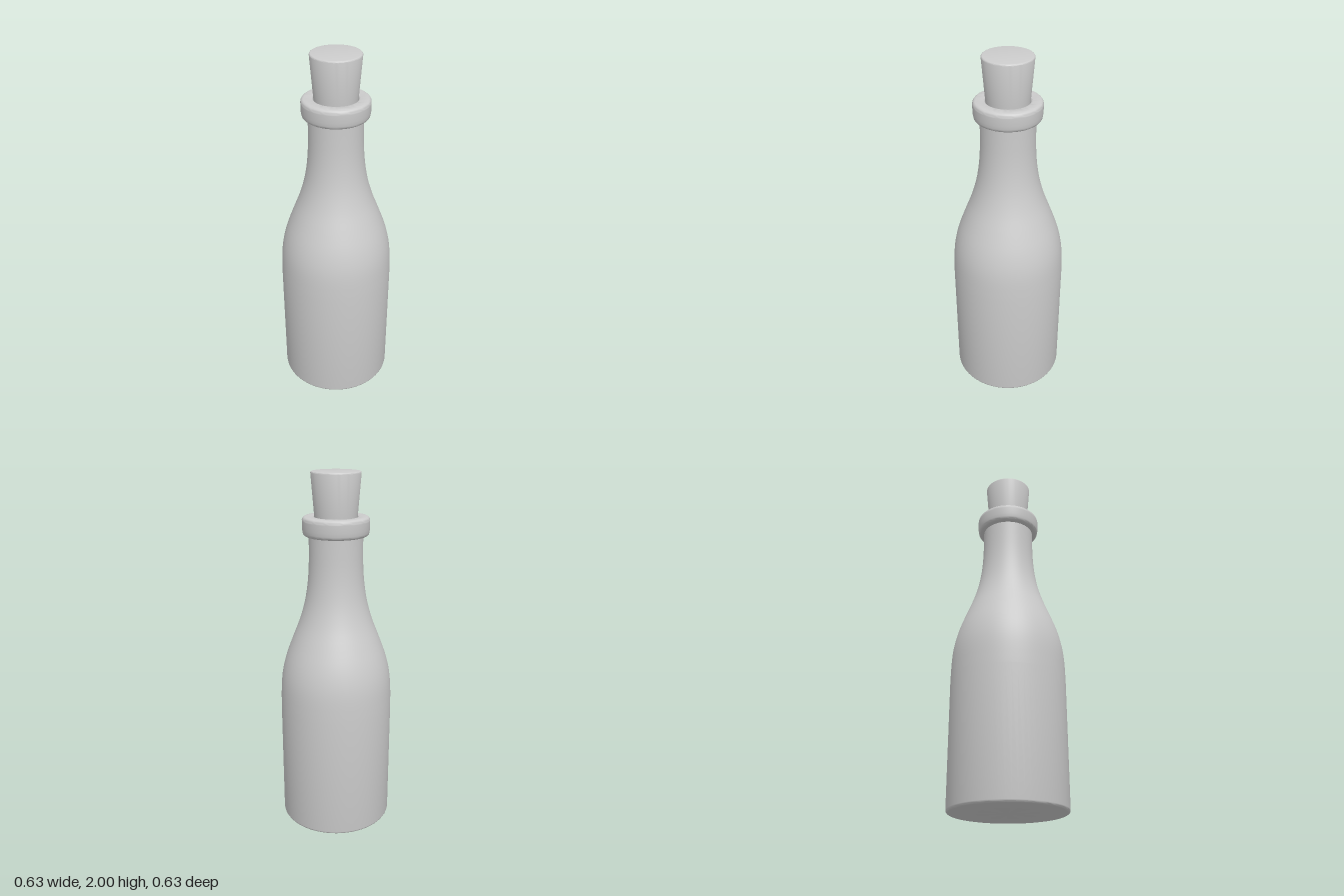
import * as THREE from 'three';
import { toCreasedNormals } from 'three/addons/utils/BufferGeometryUtils.js';

const SEGMENTS = 64;

// Turn a list of [radius, height] points into a named round part.
function turned(name, points, material) {
  const profile = points.map(([r, y]) => new THREE.Vector2(r, y));
  const geometry = toCreasedNormals(new THREE.LatheGeometry(profile, SEGMENTS), 0.6);
  const mesh = new THREE.Mesh(geometry, material);
  mesh.name = name;
  return mesh;
}

// Quarter-round corner from angle a to b (radians), as profile points.
function corner(r, y, radius, a, b, steps = 4) {
  return Array.from({ length: steps + 1 }, (_, i) => {
    const t = a + ((b - a) * i) / steps;
    return [r + radius * Math.cos(t), y + radius * Math.sin(t)];
  });
}

export function createModel() {
  const model = new THREE.Group();
  model.name = 'corkedBottle';
  const grey = new THREE.MeshStandardMaterial({ color: 0xcccccc });
  grey.name = 'plain grey';
  const q = Math.PI / 2;

  // Body, shoulder and neck: straight wall, then a smooth S-curve
  const shoulder = new THREE.SplineCurve([
    [0.316, 0.7], [0.312, 0.82], [0.301, 0.91], [0.278, 1.0], [0.241, 1.1],
    [0.202, 1.2], [0.173, 1.3], [0.156, 1.4], [0.148, 1.5], [0.146, 1.6], [0.146, 1.68],
  ].map(([r, y]) => new THREE.Vector2(r, y)));
  model.add(turned('bottleBody', [
    [0, 0], ...corner(0.301, 0.015, 0.015, -q, 0),
    ...shoulder.getPoints(30).map((p) => [p.x, p.y]),
  ], grey));

  // Lip ring with rounded edges
  model.add(turned('lipRing', [
    [0.135, 1.667],
    ...corner(0.158, 1.687, 0.02, -q, 0),
    [0.181, 1.705], [0.181, 1.745],
    ...corner(0.161, 1.75, 0.02, 0, q),
    ...corner(0.127, 1.758, 0.012, q, 2 * q),
    [0.115, 1.72],
  ], grey));

  // Tapered cork, its lower end inside the neck
  model.add(turned('cork', [
    [0, 1.7], [0.11, 1.7], [0.116, 1.78],
    ...corner(0.125, 1.992, 0.008, 0, q),
    [0, 2],
  ], grey));

  return model;
}
